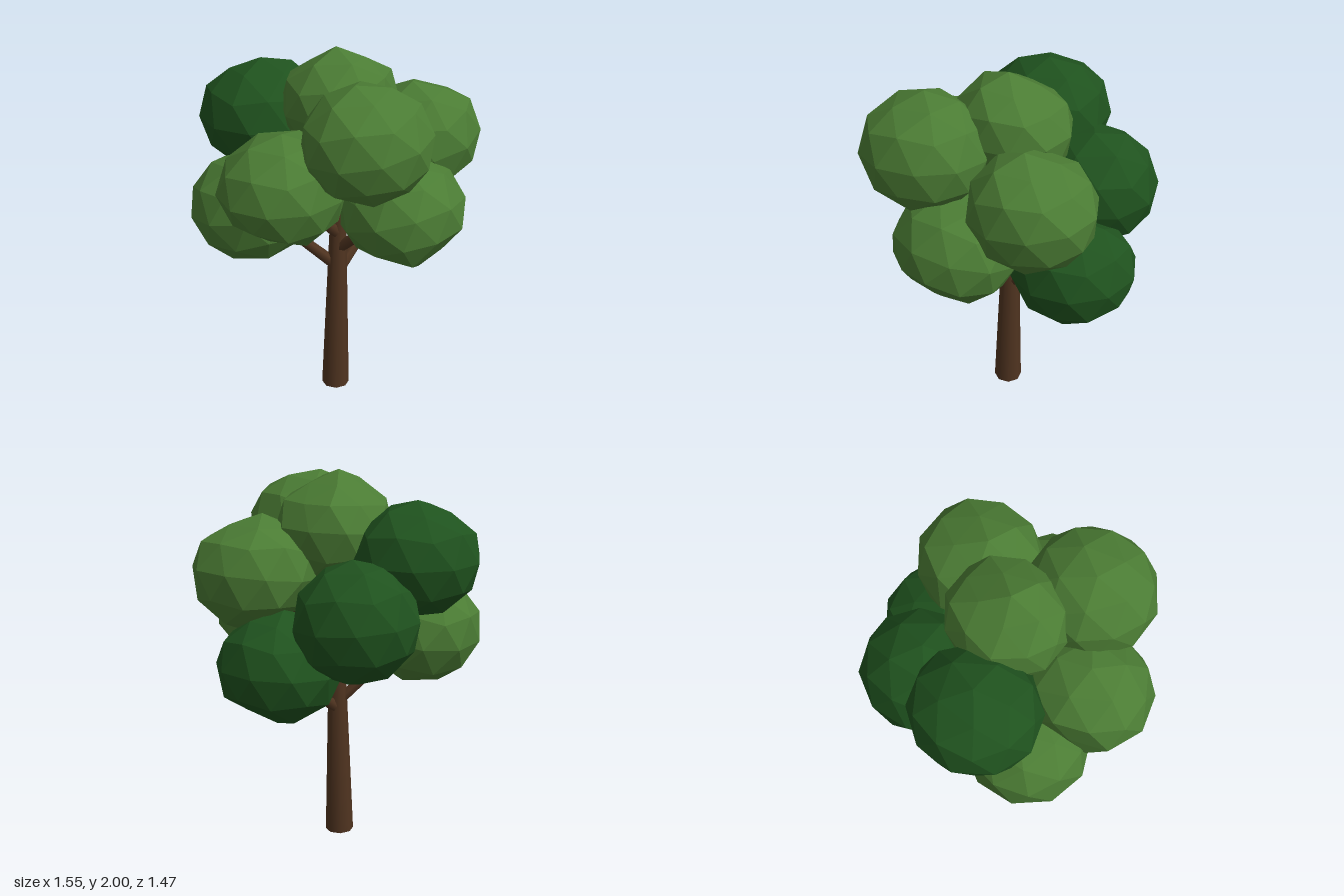
import * as THREE from 'three';

const bark = new THREE.MeshStandardMaterial({ color: 0x503420 });
bark.name = 'bark brown';
const leaf = new THREE.MeshStandardMaterial({ color: 0x4b7c34 });
leaf.name = 'leaf green';
const darkLeaf = new THREE.MeshStandardMaterial({ color: 0x1f521e });
darkLeaf.name = 'dark leaf green';

// Tapered limb running between two points
function limb(name, from, to, r0, r1, sides) {
  const a = new THREE.Vector3(...from), b = new THREE.Vector3(...to);
  const dir = b.clone().sub(a);
  const geo = new THREE.CylinderGeometry(r1, r0, dir.length(), sides);
  const mesh = new THREE.Mesh(geo, bark);
  mesh.name = name;
  mesh.position.copy(a).add(b).multiplyScalar(0.5);
  mesh.quaternion.setFromUnitVectors(new THREE.Vector3(0, 1, 0), dir.normalize());
  return mesh;
}

// Faceted, squashed ball of leaves with a corner at its top and bottom, then tilted;
// each flat [x, y, z, d] planes off the side facing x, y, z
function clump({ name, at, size, tilt, flats = [], material }) {
  const geo = new THREE.IcosahedronGeometry(1, 1);
  geo.rotateZ(Math.atan(2 / (1 + Math.sqrt(5))));
  geo.applyMatrix4(new THREE.Matrix4().makeRotationFromEuler(new THREE.Euler(...tilt)));
  const pos = geo.attributes.position;
  const p = new THREE.Vector3();
  for (let i = 0; i < pos.count; i++) {
    p.fromBufferAttribute(pos, i);
    for (const [x, y, z, d] of flats) {
      const n = new THREE.Vector3(x, y, z).normalize();
      p.addScaledVector(n, -Math.max(0, p.dot(n) - d));
    }
    pos.setXYZ(i, p.x, p.y, p.z);
  }
  geo.scale(...size);
  geo.computeVertexNormals(); // one normal per face
  const mesh = new THREE.Mesh(geo, material);
  mesh.name = name;
  mesh.position.set(...at);
  return mesh;
}

const clumps = [
  { name: 'topClump', at: [0.03, 1.706, 0], size: [0.32, 0.295, 0.295], tilt: [0, 0, 0.09], material: leaf,
    flats: [[0.52, 0.85, 0, 0.81], [0, 0.82, -0.57, 0.83]] },
  { name: 'frontUpperClump', at: [-0.2, 1.65, 0.385], size: [0.338, 0.3, 0.325], tilt: [-0.14, 0, 0.12], material: leaf,
    flats: [[0, 0.94, 0.35, 0.9]] },
  { name: 'rightSideClump', at: [-0.445, 1.385, 0.05], size: [0.34, 0.295, 0.32], tilt: [0, 0.9, 0], material: leaf,
    flats: [[-0.63, -0.78, 0, 0.83], [-0.35, 0, -0.94, 0.87]] },
  { name: 'leftFrontClump', at: [0.38, 1.49, 0.235], size: [0.335, 0.305, 0.325], tilt: [0, 0, 0.17], material: leaf,
    flats: [[0.4, 0.92, 0, 0.84], [0, 0.91, -0.42, 0.89], [0, -0.82, -0.57, 0.83]] },
  { name: 'frontLowerClump', at: [0.04, 1.215, 0.42], size: [0.338, 0.295, 0.325], tilt: [-0.37, 0, 0], material: leaf,
    flats: [[-0.55, -0.83, 0, 0.83], [0, -0.54, 0.84, 0.86]] },
  { name: 'backRightClump', at: [-0.325, 1.15, -0.295], size: [0.335, 0.295, 0.325], tilt: [-0.2, 0.4, 0], material: leaf },
  { name: 'leftLowerClump', at: [0.455, 1.05, 0], size: [0.33, 0.293, 0.325], tilt: [0, 0, 0.09], material: darkLeaf,
    flats: [[0.62, -0.79, 0, 0.84], [-0.4, -0.92, 0, 0.9], [0, 0.82, -0.56, 0.84], [0, 0.87, 0.5, 0.87]] },
  { name: 'backUpperClump', at: [-0.11, 1.575, -0.425], size: [0.34, 0.297, 0.325], tilt: [0, 0.3, 0], material: darkLeaf,
    flats: [[0, 0.89, -0.46, 0.89]] },
  { name: 'backLeftClump', at: [0.285, 1.31, -0.36], size: [0.335, 0.313, 0.318], tilt: [0.08, 0.4, 0], material: darkLeaf },
];

// Each branch leaves the trunk at a height and reaches into a clump
const branches = [
  ['leftLowerClump', 0.71],
  ['backRightClump', 0.75],
  ['frontLowerClump', 0.86],
  ['rightSideClump', 0.95],
  ['backLeftClump', 0.94],
  ['leftFrontClump', 1.08],
];

export function createModel() {
  const tree = new THREE.Group();
  tree.name = 'tree';

  tree.add(limb('trunk', [-0.003, 0, 0], [0.025, 1.4, 0], 0.076, 0.032, 8));

  for (const [target, y] of branches) {
    const { at } = clumps.find((c) => c.name === target);
    tree.add(limb(`${target}Branch`, [0.012, y, 0], at, 0.033, 0.02, 6));
  }

  const crown = new THREE.Group();
  crown.name = 'crown';
  for (const c of clumps) crown.add(clump(c));
  tree.add(crown);

  return tree;
}
